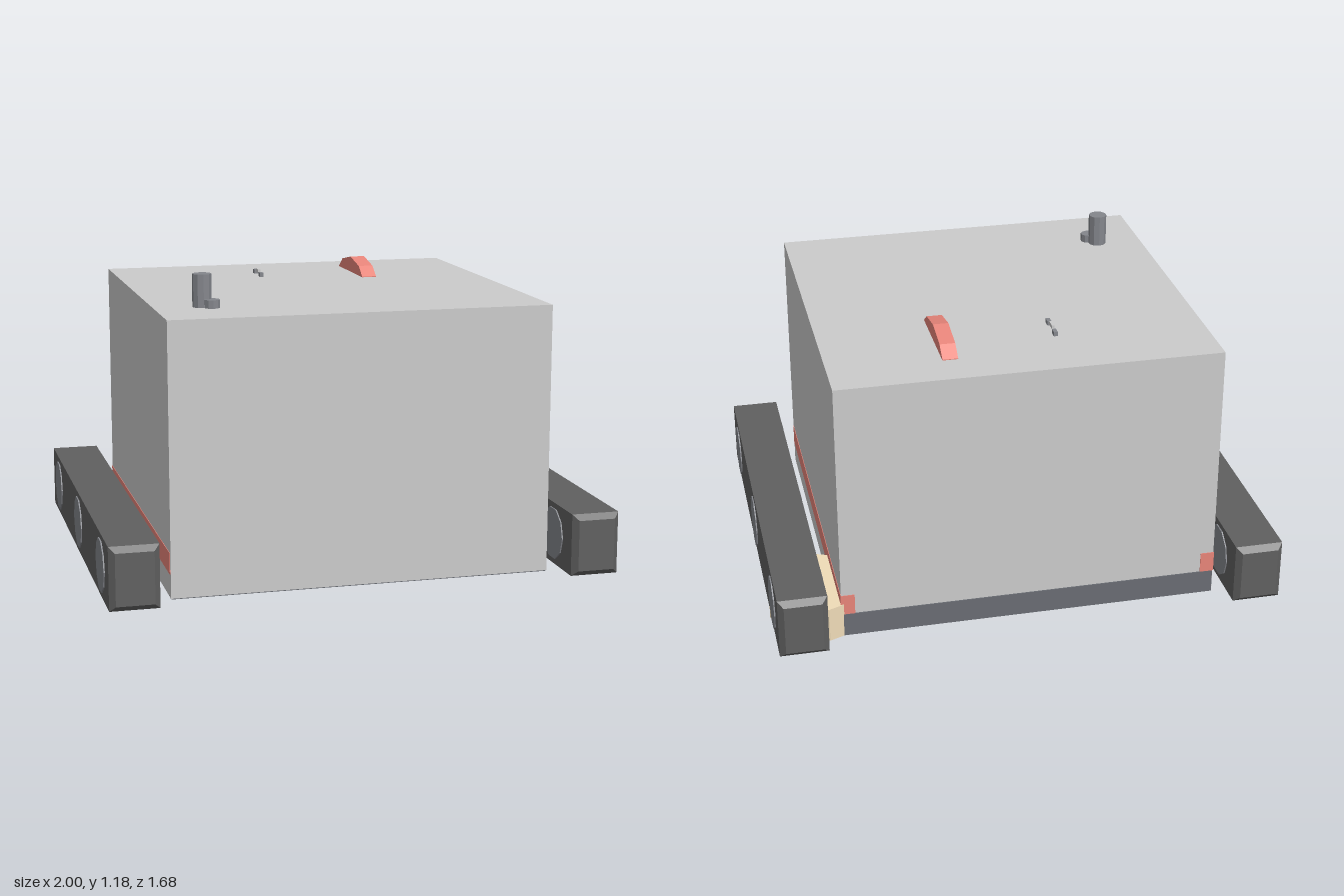
import * as THREE from 'three';

const mat = (color) => new THREE.MeshStandardMaterial({ color, flatShading: true });
const hull = mat(0xcccccc), rubber = mat(0x606060), steel = mat(0x84868c);
const red = mat(0xe8857a), tan = mat(0xf0dcb8), plateMat = mat(0x6a6d74);

function add(parent, name, geometry, material, x = 0, y = 0, z = 0) {
  const mesh = new THREE.Mesh(geometry, material);
  mesh.name = name;
  mesh.position.set(x, y, z);
  parent.add(mesh);
  return mesh;
}

// Box given by its minimum and maximum corners
function block(parent, name, material, [x0, y0, z0], [x1, y1, z1]) {
  const geometry = new THREE.BoxGeometry(x1 - x0, y1 - y0, z1 - z0);
  return add(parent, name, geometry, material, (x0 + x1) / 2, (y0 + y1) / 2, (z0 + z1) / 2);
}

// Box with every edge chamfered, centred on the origin
function chamferedBox(w, h, d, c) {
  const a = w / 2 - c, b = h / 2 - c;
  const shape = new THREE.Shape([
    [-a, -b], [a, -b], [a, b], [-a, b],
  ].map(([x, y]) => new THREE.Vector2(x, y)));
  const geometry = new THREE.ExtrudeGeometry(shape, {
    depth: d - 2 * c, bevelEnabled: true, bevelThickness: c, bevelSize: c, bevelSegments: 1,
  });
  return geometry.translate(0, 0, c - d / 2);
}

export function createModel() {
  const model = new THREE.Group();
  model.name = 'trackedBox';

  // Body and the dark floor plate showing below and behind
  block(model, 'body', hull, [-0.748, 0.004, -0.72], [0.742, 1.055, 0.72]);
  block(model, 'floorPlate', plateMat, [-0.746, 0, -0.724], [0.74, 0.095, 0.716]);

  // Tracks with three wheels, and a red rail behind each track
  for (const side of [-1, 1]) {
    const track = new THREE.Group();
    track.name = side > 0 ? 'leftTrack' : 'rightTrack';
    track.position.set(side * 0.9, 0.127, 0);
    add(track, 'trackBelt', chamferedBox(0.19, 0.246, 1.68, 0.022), rubber);
    for (const z of [-0.625, 0, 0.625]) {
      const wheel = new THREE.CylinderGeometry(0.105, 0.105, 0.2, 10).rotateZ(Math.PI / 2);
      add(track, 'wheel', wheel, steel, 0, 0, z);
    }
    model.add(track);

    const outer = side > 0 ? 0.744 : -0.75;
    const inner = outer - side * 0.055;
    block(model, 'sideRail', red,
      [Math.min(outer, inner), 0.095, -0.723], [Math.max(outer, inner), 0.178, 0.71]);
  }

  // Eight-sided drum wedged between the body and the left track
  add(model, 'drum', new THREE.CylinderGeometry(0.208, 0.208, 0.14, 8), tan, 0.792, 0.07, -0.54);

  // Exhaust stack with a shorter pipe beside it
  add(model, 'stack', new THREE.CylinderGeometry(0.037, 0.037, 0.14, 10), steel, -0.562, 1.112, 0.435);
  add(model, 'shortPipe', new THREE.CylinderGeometry(0.03, 0.03, 0.05, 10), steel, -0.53, 1.062, 0.468);

  // Red arched fin on the roof, drawn as a side profile
  const arch = new THREE.Shape([
    [-0.185, 1.05], [0.185, 1.05], [0.185, 1.058], [0.13, 1.096],
    [0, 1.12], [-0.13, 1.096], [-0.185, 1.058],
  ].map(([x, y]) => new THREE.Vector2(x, y)));
  const fin = new THREE.ExtrudeGeometry(arch, { depth: 0.06, bevelEnabled: false });
  fin.translate(0, 0, -0.03).rotateY(Math.PI / 2);
  add(model, 'roofFin', fin, red, 0.275, 0, -0.375);

  // Small roof handle: two feet and a thin bar
  for (const z of [-0.427, -0.325]) {
    block(model, 'handleFoot', steel, [-0.168, 1.05, z - 0.016], [-0.152, 1.072, z + 0.016]);
  }
  block(model, 'handleBar', hull, [-0.165, 1.066, -0.4], [-0.155, 1.08, -0.355]);

  return model;
}
